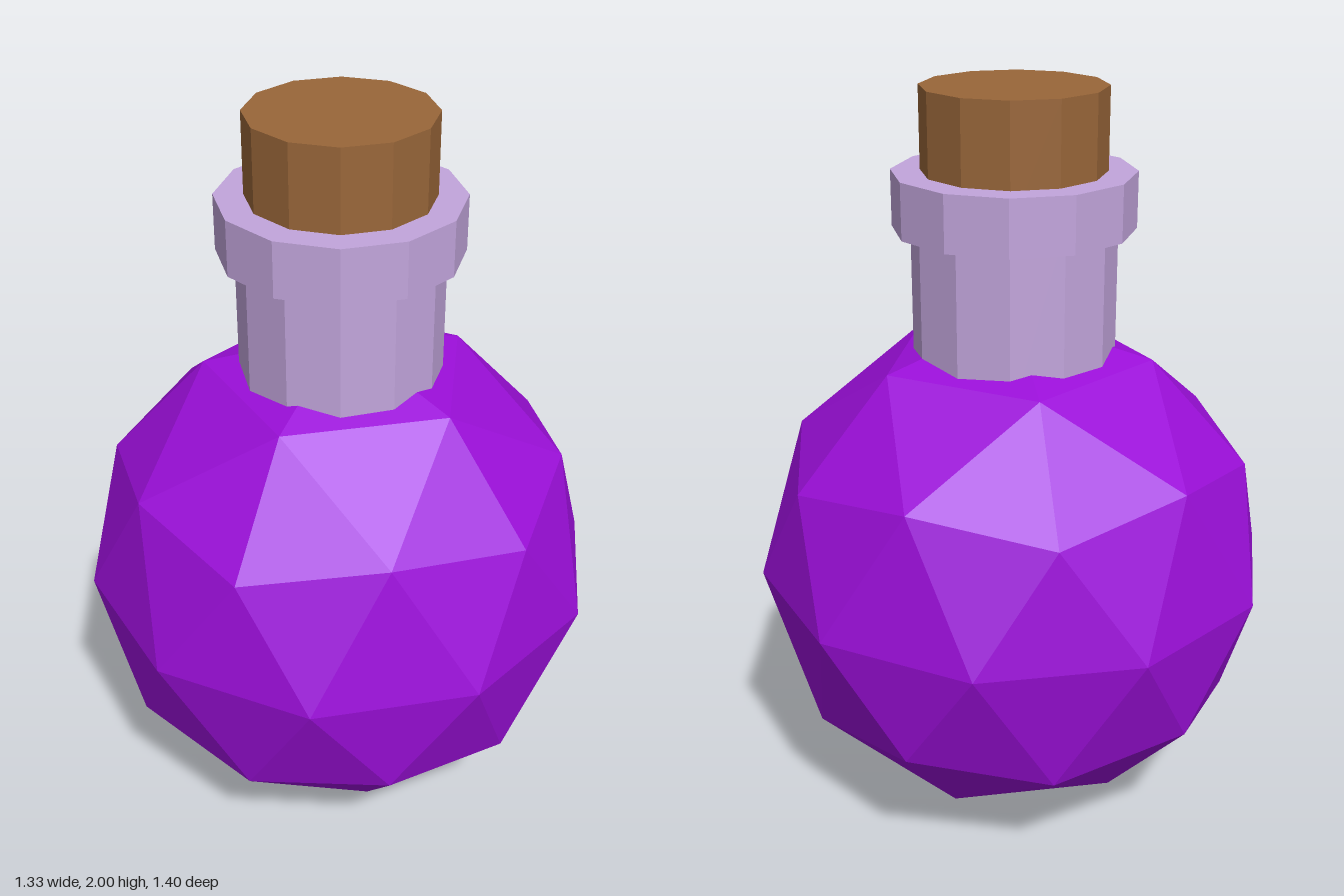
import * as THREE from 'three';

const glassPurple = new THREE.MeshStandardMaterial({ name: 'purple potion', color: 0x9b0fd9 });
const glassLilac = new THREE.MeshStandardMaterial({ name: 'lilac glass', color: 0xc2a5dc });
const corkBrown = new THREE.MeshStandardMaterial({ name: 'cork brown', color: 0x996639 });

// Faceted ball: an icosahedron standing on a point, with each face split in four
function ballGeometry(radius) {
  const points = [0, 1, 0];
  const ring = (y, turn) => {
    for (let i = 0; i < 5; i++) {
      const a = (i / 5) * Math.PI * 2 + turn;
      points.push(Math.cos(a) * 2 * 0.4472, y, -Math.sin(a) * 2 * 0.4472);
    }
  };
  ring(0.4472, 0);
  ring(-0.4472, Math.PI / 5);
  points.push(0, -1, 0);

  const faces = [];
  for (let i = 0; i < 5; i++) {
    const j = (i + 1) % 5;
    const up = 1 + i, upNext = 1 + j, low = 6 + i, lowNext = 6 + j;
    faces.push(0, up, upNext, up, low, upNext, upNext, low, lowNext, 11, lowNext, low);
  }
  const geometry = new THREE.PolyhedronGeometry(points, faces, radius, 1);
  geometry.computeVertexNormals(); // unshared corners give flat facets
  return geometry;
}

// Twelve-sided flat-shaded drum between two heights
function drum(name, radius, bottom, top, material) {
  const geometry = new THREE.CylinderGeometry(radius, radius, top - bottom, 12).toNonIndexed();
  geometry.computeVertexNormals();
  const mesh = new THREE.Mesh(geometry, material);
  mesh.name = name;
  mesh.position.y = (bottom + top) / 2;
  return mesh;
}

export function createModel() {
  const model = new THREE.Group();
  model.name = 'potionBottle';

  // Round body
  const body = new THREE.Mesh(ballGeometry(0.7), glassPurple);
  body.name = 'body';
  body.position.y = 0.7;
  model.add(body);

  // Neck, lip and stopper
  model.add(drum('neck', 0.268, 1.2, 1.7, glassLilac));
  model.add(drum('lip', 0.316, 1.64, 1.787, glassLilac));
  model.add(drum('cork', 0.24, 1.7, 2, corkBrown));

  return model;
}
